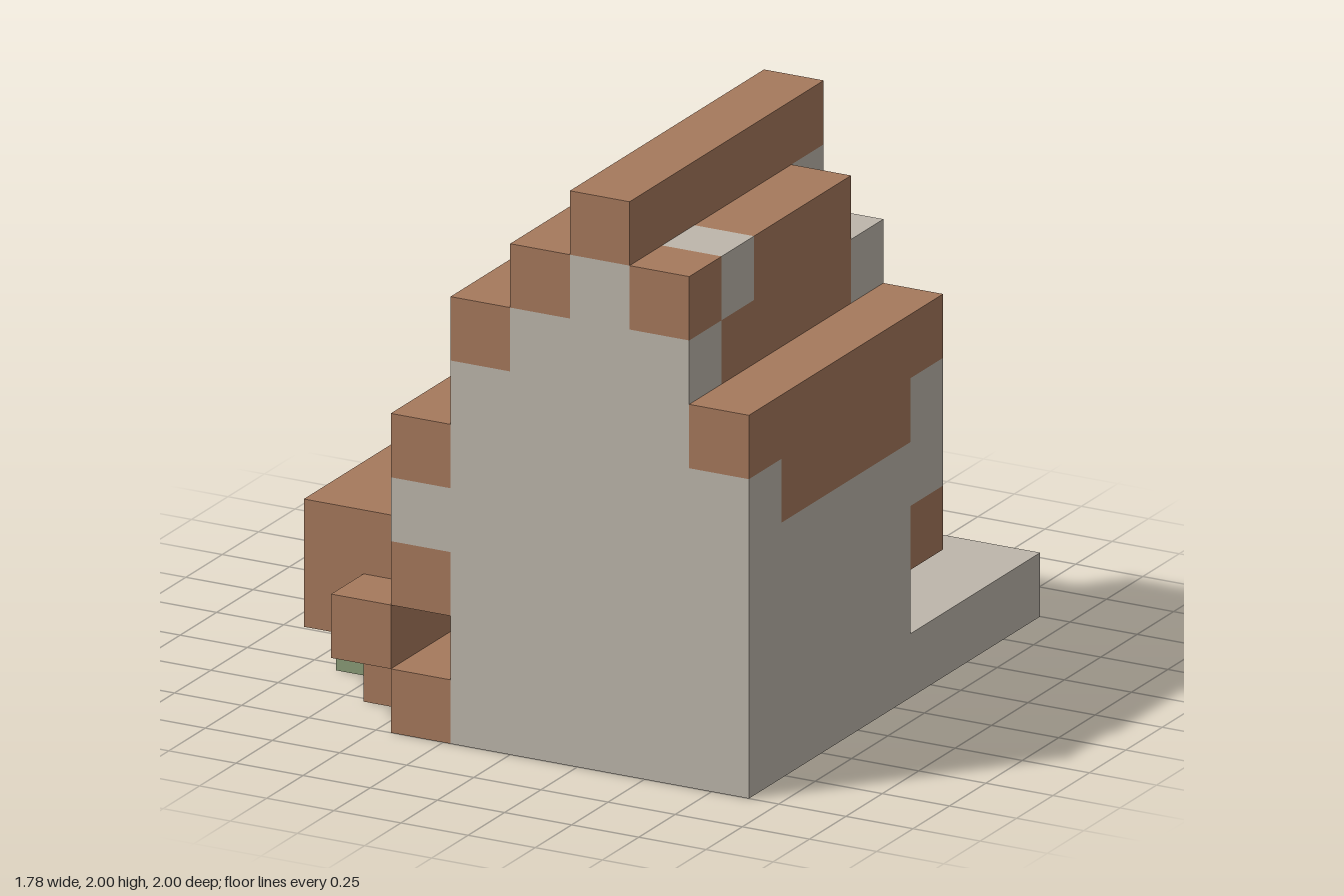
import * as THREE from 'three';
import { mergeGeometries } from 'three/addons/utils/BufferGeometryUtils.js';

const U = 2 / 9; // edge of one block

// One outward-facing square for each side of a block
const SIDES = [
  { d: [1, 0, 0], r: [0, Math.PI / 2, 0] },
  { d: [-1, 0, 0], r: [0, -Math.PI / 2, 0] },
  { d: [0, 1, 0], r: [-Math.PI / 2, 0, 0] },
  { d: [0, -1, 0], r: [Math.PI / 2, 0, 0] },
  { d: [0, 0, 1], r: [0, 0, 0] },
  { d: [0, 0, -1], r: [0, Math.PI, 0] },
];

export function createModel() {
  const group = new THREE.Group();
  const material = (name, color) => {
    const m = new THREE.MeshStandardMaterial({ color, side: THREE.DoubleSide });
    m.name = name;
    return m;
  };
  const stone = material('stone', 0xbdb6ab);
  const wood = material('wood', 0xa6795c);
  const green = material('leafGreen', 0x8a9c78);
  const blue = material('waterBlue', 0x6487a5);

  // Blocks are addressed by column (x), level (y) and row (z), ranges inclusive
  const blocks = new Map();
  const key = (x, y, z) => `${x},${y},${z}`;
  const each = ([x0, x1], [y0, y1], [z0, z1], fn) => {
    for (let x = x0; x <= x1; x++)
      for (let y = y0; y <= y1; y++)
        for (let z = z0; z <= z1; z++) fn(x, y, z);
  };
  const fill = (part, mat, xs, ys, zs) =>
    each(xs, ys, zs, (x, y, z) => blocks.set(key(x, y, z), { part, mat, x, y, z }));
  const carve = (xs, ys, zs) => each(xs, ys, zs, (x, y, z) => blocks.delete(key(x, y, z)));

  // Yard slab with its path and pond
  fill('yard', stone, [0, 7], [0, 0], [0, 3]);
  fill('path', wood, [4, 4], [0, 0], [1, 2]);
  fill('path', wood, [1, 3], [0, 0], [3, 3]);
  fill('pond', blue, [0, 0], [0, 0], [3, 3]);

  // House walls: one gable slice per column
  [4, 6, 7, 8, 7, 5].forEach((top, i) => {
    fill('houseWalls', stone, [i + 2, i + 2], [0, top], [4, 8]);
    fill('houseWalls', stone, [i + 2, i + 2], [1, top], [3, 3]);
  });

  // Stepped roof beams
  [[2, 4], [3, 6], [4, 7], [5, 8], [6, 7], [7, 5]].forEach(([x, y]) =>
    fill('roofBeam', wood, [x, x], [y, y], [3, 8]));
  // Boards under the beams, set in from both gables
  fill('roofBoards', wood, [3, 3], [5, 5], [4, 7]);
  fill('roofBoards', wood, [6, 6], [6, 6], [4, 7]);
  fill('roofBoards', wood, [7, 7], [4, 4], [4, 7]);
  // Stone blocks showing in the roof
  fill('roofStone', stone, [4, 4], [7, 7], [3, 3]);
  fill('roofStone', stone, [6, 6], [7, 7], [7, 7]);
  carve([6, 6], [7, 7], [3, 3]);

  // Back door, corner bracket and the recess under the back wall
  fill('door', wood, [4, 5], [1, 2], [3, 3]);
  fill('cornerBracket', wood, [7, 7], [2, 2], [3, 3]);
  carve([6, 7], [1, 1], [3, 3]);
  carve([3, 3], [1, 1], [3, 3]);
  carve([2, 2], [1, 3], [3, 3]);

  // Side passage through the house
  fill('passageFloor', wood, [2, 2], [0, 0], [4, 8]);
  fill('passageCeiling', wood, [2, 2], [2, 2], [5, 8]);
  carve([2, 2], [1, 1], [3, 8]);

  // Lean-to beside the house, with its post, step and planter
  fill('leanToRoof', wood, [0, 1], [2, 2], [4, 7]);
  fill('leanToFloor', wood, [1, 1], [0, 0], [4, 7]);
  fill('leanToWall', wood, [1, 1], [1, 1], [5, 7]);
  fill('leanToPost', wood, [0, 0], [1, 1], [7, 7]);
  fill('frontShelf', wood, [1, 1], [1, 1], [8, 8]);
  fill('planter', green, [0, 0], [0, 0], [5, 6]);

  // Keep only outer faces; the ground side stays open
  const faces = new Map();
  for (const { part, mat, x, y, z } of blocks.values()) {
    for (const { d, r } of SIDES) {
      if (y + d[1] < 0 || blocks.has(key(x + d[0], y + d[1], z + d[2]))) continue;
      const face = new THREE.PlaneGeometry(U, U);
      face.translate(0, 0, U / 2);
      face.rotateX(r[0]).rotateY(r[1]);
      face.translate((x - 3.5) * U, (y + 0.5) * U, (z - 4) * U);
      if (!faces.has(part)) faces.set(part, { mat, list: [] });
      faces.get(part).list.push(face);
    }
  }
  for (const [part, { mat, list }] of faces) {
    const mesh = new THREE.Mesh(mergeGeometries(list), mat);
    mesh.name = part;
    group.add(mesh);
  }
  return group;
}
